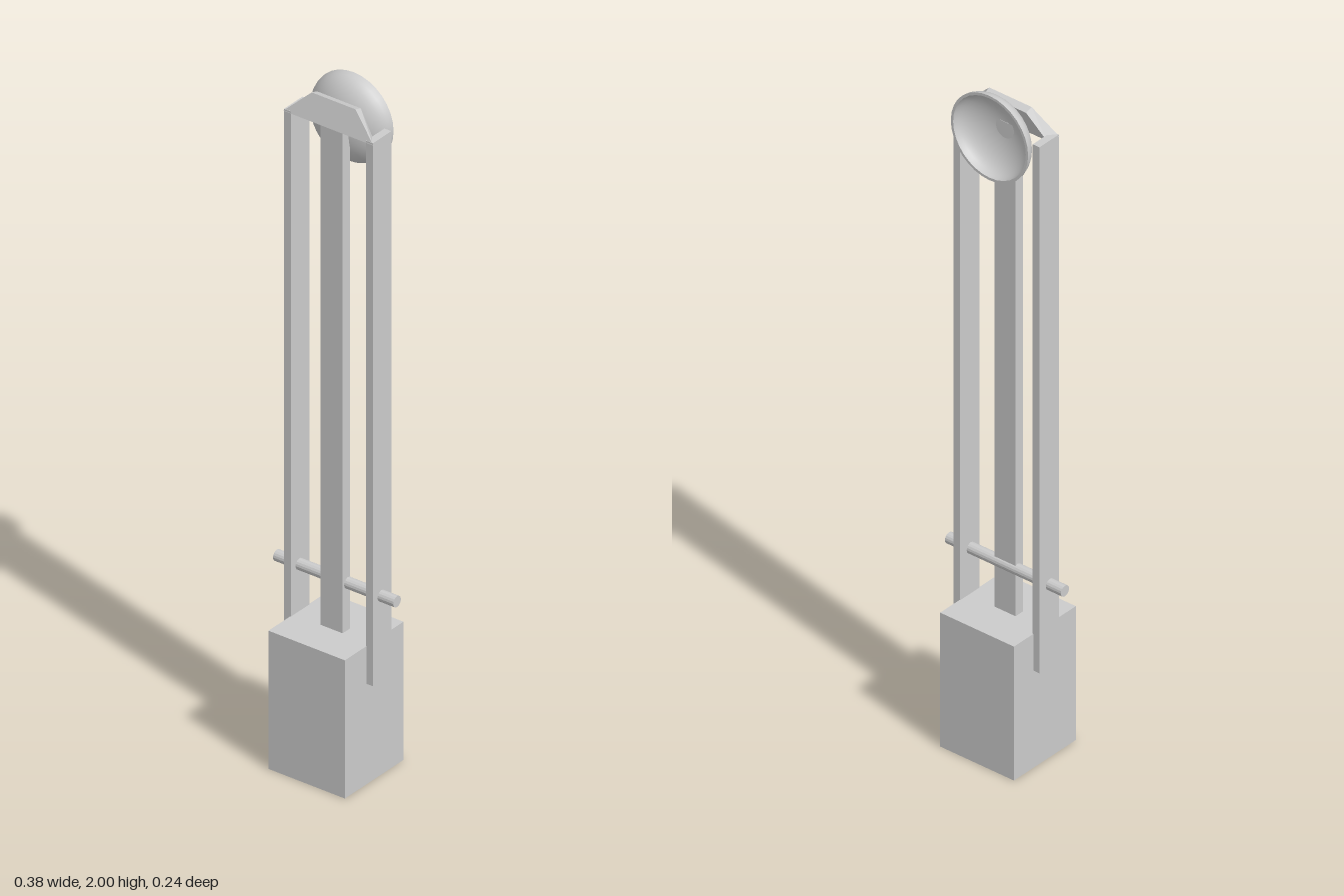
import * as THREE from 'three';

const material = new THREE.MeshStandardMaterial({ color: 0xcccccc, flatShading: true });
const smooth = new THREE.MeshStandardMaterial({ color: 0xcccccc, side: THREE.DoubleSide });

export function createModel() {
  const model = new THREE.Group();

  const add = (name, geometry, x, y, z, mat = material) => {
    const mesh = new THREE.Mesh(geometry, mat);
    mesh.name = name;
    mesh.position.set(x, y, z);
    model.add(mesh);
    return mesh;
  };
  // Box given by its width, depth and vertical extent
  const bar = (name, width, depth, bottom, top, x, z) =>
    add(name, new THREE.BoxGeometry(width, top - bottom, depth), x, (top + bottom) / 2, z);

  bar('base', 0.244, 0.244, 0, 0.406, 0, 0);
  bar('centrePost', 0.07, 0.03, 0.4, 1.89, 0, 0.003);

  // Flat side rails overlapping the sides of the base
  for (const side of [-1, 1]) {
    bar(side > 0 ? 'leftRail' : 'rightRail', 0.022, 0.077, 0.295, 1.89, side * 0.131, -0.007);
  }

  // Cross rod through the rails
  const rod = add('crossRod', new THREE.CylinderGeometry(0.016, 0.016, 0.384, 16), 0, 0.545, -0.004);
  rod.rotation.z = Math.PI / 2;

  // Leaning trapezoid bracket joining the rails: a box with its corners moved
  const bracket = new THREE.BoxGeometry(2, 2, 2);
  const p = bracket.attributes.position;
  for (let i = 0; i < p.count; i++) {
    const sx = p.getX(i), top = p.getY(i) > 0, front = p.getZ(i) > 0;
    const halfWidth = top ? 0.07 : front ? 0.144 : 0.125;
    const y = top ? (front ? 1.954 : 1.947) : (front ? 1.884 : 1.878);
    const z = top ? (front ? 0.01 : -0.012) : (front ? 0.032 : 0.004);
    p.setXYZ(i, sx * halfWidth, y, z);
  }
  bracket.computeVertexNormals();
  add('topBracket', bracket, 0, 0, 0);

  // Shallow dish, open towards the back, with a thin rim
  const profile = [];
  const steps = 12;
  for (let i = 0; i <= steps; i++) {
    const a = (i / steps) * Math.PI / 2;
    profile.push(new THREE.Vector2(0.128 * Math.sin(a), 0.07 * Math.cos(a)));
  }
  const inner = profile.map(v => new THREE.Vector2(v.x * 0.94, v.y * 0.9)).reverse();
  const dish = new THREE.Group();
  dish.name = 'dish';
  [['dishOutside', profile], ['dishRim', [profile[steps], inner[0]]], ['dishInside', inner]].forEach(([name, points]) => {
    const mesh = new THREE.Mesh(new THREE.LatheGeometry(points, 32), smooth);
    mesh.name = name;
    dish.add(mesh);
  });
  dish.rotation.x = Math.PI / 2;
  dish.position.set(0, 1.872, -0.073);
  model.add(dish);

  return model;
}
